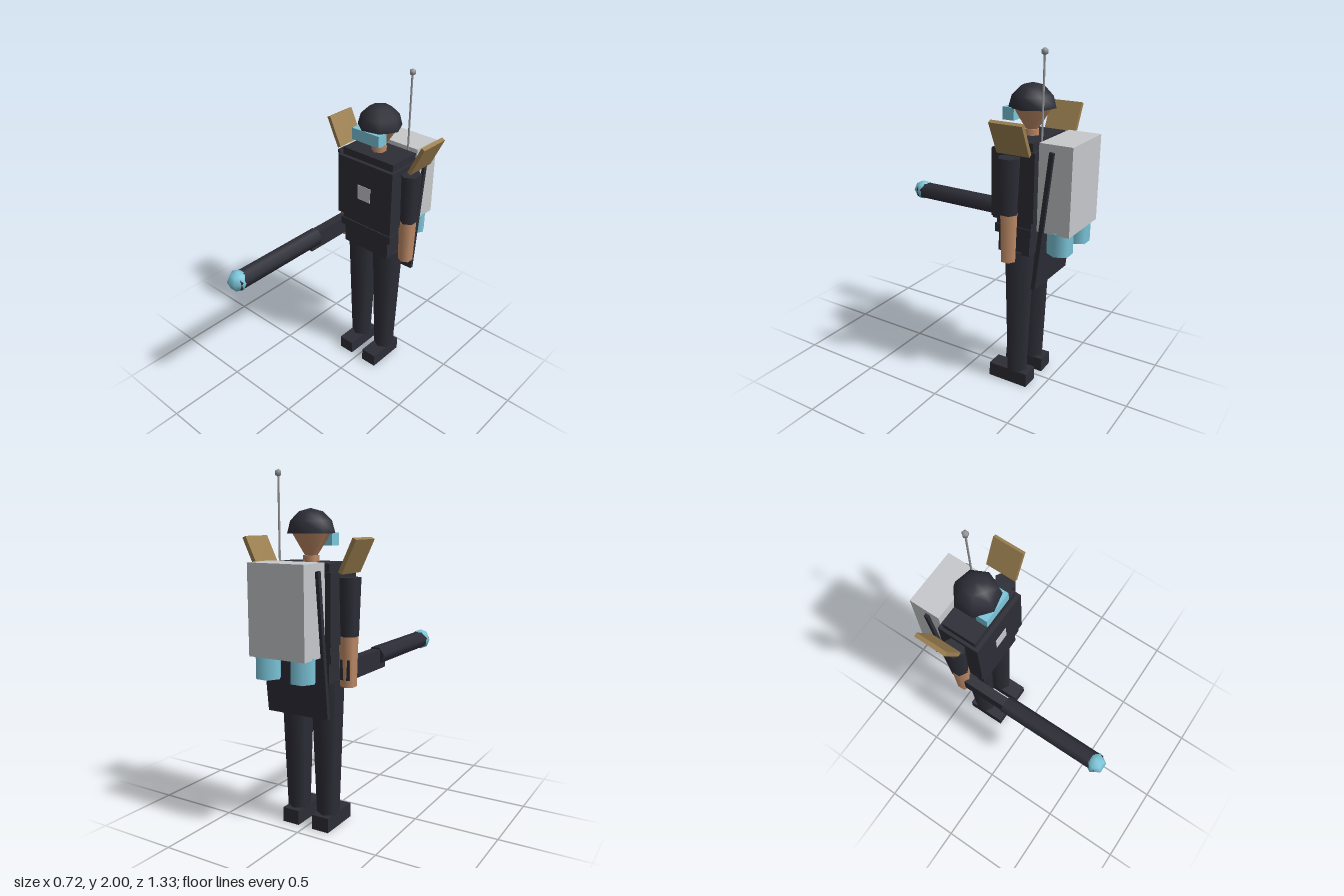
import * as THREE from 'three';

export function createModel() {
  const model = new THREE.Group();
  model.name = 'soldier';
  const mat = (name, color) => {
    const m = new THREE.MeshStandardMaterial({ color });
    m.name = name;
    return m;
  };
  const dark = mat('darkFabric', 0x2d2d37);
  const skin = mat('skin', 0xc08c68);
  const cyan = mat('cyanGlow', 0x7cc6da);
  const grey = mat('lightGrey', 0xc6c8cb);
  const steel = mat('steel', 0x9a9c9f);
  const gold = mat('goldPlate', 0x9c8050);

  const Z = -0.335; // depth of the body axis

  const add = (name, geo, material, x, y, z) => {
    const m = new THREE.Mesh(geo, material);
    m.name = name;
    m.position.set(x, y, z);
    model.add(m);
    return m;
  };
  // Box given by its two opposite corners
  const box = (name, material, [x0, y0, z0], [x1, y1, z1]) =>
    add(name, new THREE.BoxGeometry(x1 - x0, y1 - y0, z1 - z0), material,
      (x0 + x1) / 2, (y0 + y1) / 2, (z0 + z1) / 2);
  // Upright tapered tube between two heights
  const limb = (name, material, rTop, rBottom, yBottom, yTop, x, z, sides = 6) =>
    add(name, new THREE.CylinderGeometry(rTop, rBottom, yTop - yBottom, sides), material,
      x, (yBottom + yTop) / 2, z);

  // Torso, vest, belt and hips
  box('shirt', dark, [-0.187, 1.03, -0.445], [0.187, 1.515, -0.23]);
  box('vest', dark, [-0.206, 1.08, -0.467], [0.206, 1.47, -0.205]);
  box('belt', dark, [-0.195, 0.985, -0.448], [0.195, 1.035, -0.222]);
  box('hips', dark, [-0.17, 0.865, -0.43], [0.17, 0.985, -0.233]);
  box('chestBadge', grey, [-0.048, 1.225, -0.207], [0.048, 1.32, -0.202]);

  // Arms, legs, shoes and shoulder plates on both sides
  for (const [side, s] of [['left', 1], ['right', -1]]) {
    limb(side + 'Leg', dark, 0.094, 0.065, 0.08, 0.88, s * 0.1, -0.33);
    box(side + 'Shoe', dark, [s * 0.1 - 0.053, 0, -0.42], [s * 0.1 + 0.053, 0.086, -0.167]);
    limb(side + 'UpperArm', dark, 0.065, 0.053, 1.125, 1.44, s * 0.24, Z);
    limb(side + 'Forearm', skin, 0.053, 0.045, 0.848, 1.125, s * 0.237, Z);
    const plate = add(side + 'ShoulderPlate', new THREE.BoxGeometry(0.024, 0.195, 0.195), gold,
      s * 0.307, 1.558, -0.375);
    plate.rotation.z = -s * 0.45;
  }

  // Head with visor and helmet
  limb('neck', skin, 0.045, 0.045, 1.5, 1.55, 0, Z);
  limb('head', skin, 0.11, 0.03, 1.54, 1.668, 0, Z, 7);
  box('visor', cyan, [-0.098, 1.6, -0.275], [0.098, 1.67, -0.205]);
  const helmet = add('helmet', new THREE.SphereGeometry(0.133, 7, 3, 0, Math.PI * 2, 0, Math.PI / 2),
    dark, 0, 1.667, Z);
  helmet.rotation.y = Math.PI;
  const rim = add('helmetUnderside', new THREE.CircleGeometry(0.133, 7), dark, 0, 1.667, Z);
  rim.rotation.x = Math.PI / 2;

  // Backpack with two thrusters
  box('backpack', grey, [-0.176, 1.03, -0.668], [0.176, 1.523, -0.475]);
  for (const s of [1, -1]) {
    limb('thruster', cyan, 0.072, 0.072, 0.905, 1.04, s * 0.112, -0.587).rotation.y = Math.PI / 2;
  }

  // Slanted back panel
  const panel = add('backPanel', new THREE.BoxGeometry(0.39, 0.8, 0.025), dark, 0, 1.085, -0.513);
  panel.rotation.x = -0.106;

  // Antenna
  limb('antenna', steel, 0.006, 0.006, 1.44, 1.98, 0.118, -0.46, 5);
  add('antennaTip', new THREE.SphereGeometry(0.021, 5, 3), steel, 0.118, 1.979, -0.46);

  // Hand-held cannon
  box('cannonBody', dark, [-0.265, 0.888, -0.376], [-0.207, 1.0, 0.04]);
  const barrel = add('cannonBarrel', new THREE.CylinderGeometry(0.056, 0.056, 0.65, 7), dark,
    -0.235, 0.96, 0.302);
  barrel.rotation.x = Math.PI / 2;
  add('cannonTip', new THREE.SphereGeometry(0.064, 6, 4), cyan, -0.237, 0.962, 0.608);

  return model;
}
